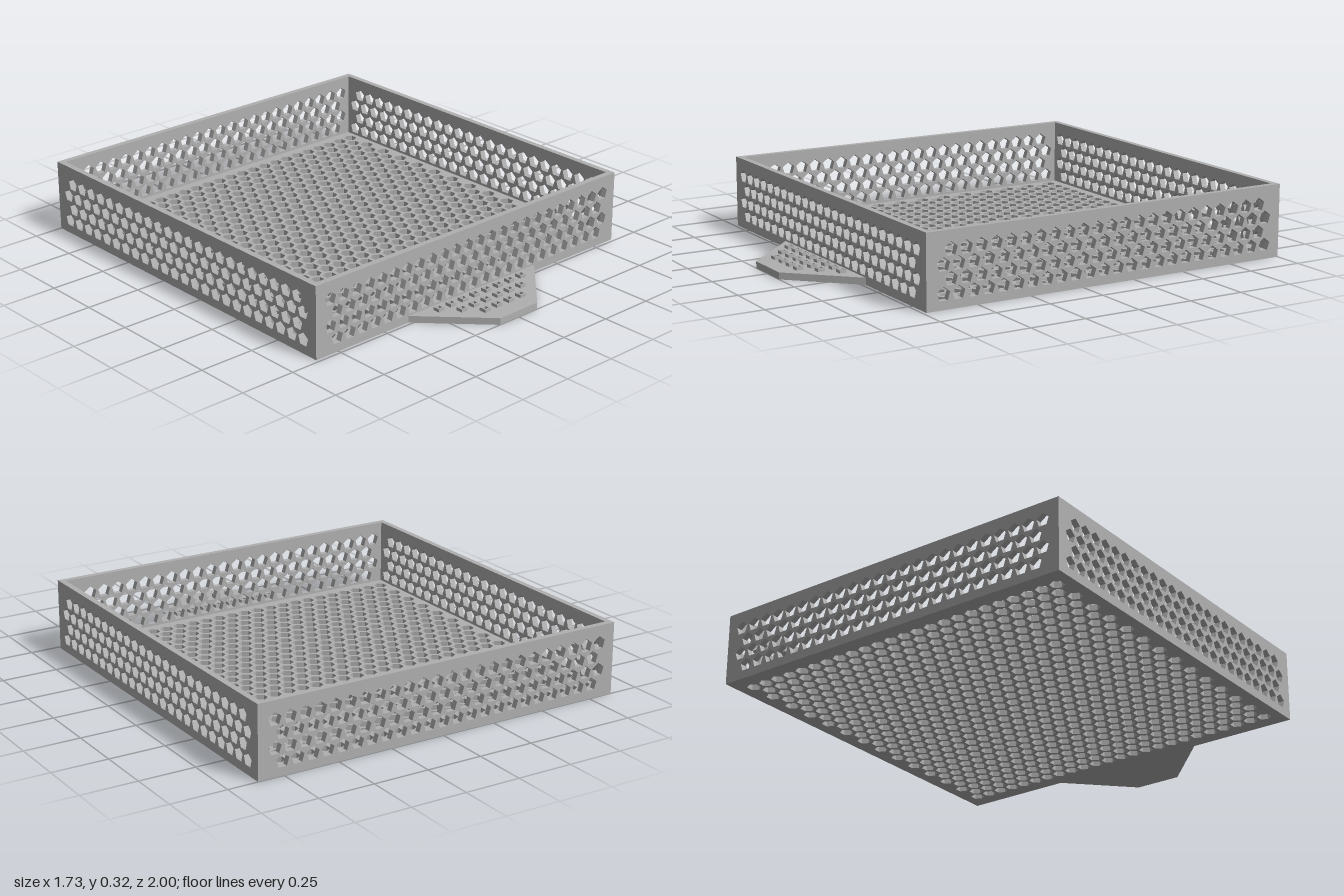
import * as THREE from 'three';

const HALF_X = 0.866, HALF_Z = 0.8675, MID_Z = -0.1325;
const HEIGHT = 0.32, THICK = 0.027;
const PITCH = 0.0687, ROW = PITCH * 0.866, HOLE_R = 0.031;

// Closed path from a list of [x, y] points
const outline = (points, Type = THREE.Shape) =>
  new Type(points.map(([x, y]) => new THREE.Vector2(x, y)));

const rectangle = (x0, y0, x1, y1, Type) =>
  outline([[x0, y0], [x1, y0], [x1, y1], [x0, y1]], Type);

// Regular polygon hole with one corner pointing up
function polygonHole(cx, cy, sides) {
  const points = [];
  for (let i = 0; i < sides; i++) {
    const a = Math.PI / 2 + (i / sides) * Math.PI * 2;
    points.push([cx + HOLE_R * Math.cos(a), cy + HOLE_R * Math.sin(a)]);
  }
  return outline(points, THREE.Path);
}

// Staggered rows of holes, alternating between two counts
function perforate(shape, rows, firstY, counts, sides) {
  for (let r = 0; r < rows; r++) {
    const n = counts[r % 2];
    for (let i = 0; i < n; i++) {
      shape.holes.push(polygonHole((i - (n - 1) / 2) * PITCH, firstY + r * ROW, sides));
    }
  }
  return shape;
}

const extrude = (shape, depth) =>
  new THREE.ExtrudeGeometry(shape, { depth, bevelEnabled: false });

// Lay a plan drawn in x and z flat, from y = bottom up to bottom + depth
const slab = (shape, bottom, depth) =>
  extrude(shape, depth).rotateX(Math.PI / 2).translate(0, bottom + depth, 0);

export function createModel() {
  const tray = new THREE.Group();
  tray.name = 'perforatedTray';
  const grey = new THREE.MeshStandardMaterial({ color: 0xb0b0b0 });
  grey.name = 'plain grey';

  const add = (name, geometry, parent = tray) => {
    const mesh = new THREE.Mesh(geometry, grey);
    mesh.name = name;
    parent.add(mesh);
    return mesh;
  };

  // Floor with hexagonal holes
  const inX = HALF_X - THICK, inZ = HALF_Z - THICK;
  const floor = perforate(rectangle(-inX, -inZ, inX, inZ), 27, -13 * ROW, [24, 23], 6);
  add('floor', slab(floor, 0, THICK)).position.z = MID_Z;

  // Front and back walls with pentagonal holes
  const longWall = extrude(
    perforate(rectangle(-HALF_X, 0, HALF_X, HEIGHT), 4, 0.063, [23, 24], 5), THICK);
  add('frontWall', longWall).position.z = MID_Z + HALF_Z - THICK;
  add('backWall', longWall).position.z = MID_Z - HALF_Z;

  // Side walls fit between them, with the stagger swapped
  const sideWall = extrude(
    perforate(rectangle(-inZ, 0, inZ, HEIGHT), 4, 0.063, [24, 23], 5), THICK)
    .rotateY(Math.PI / 2);
  add('leftWall', sideWall).position.set(HALF_X - THICK, 0, MID_Z);
  add('rightWall', sideWall).position.set(-HALF_X, 0, MID_Z);

  // Tapered grip tab at the front
  const frontZ = MID_Z + HALF_Z;
  add('gripTab', slab(
    outline([[-0.37, frontZ], [0.37, frontZ], [0.108, 1], [-0.108, 1]]), 0, 0.03));

  // Small raised square rings on the tab
  const studs = new THREE.Group();
  studs.name = 'gripStuds';
  tray.add(studs);
  const ring = rectangle(-0.016, -0.016, 0.016, 0.016);
  ring.holes.push(rectangle(-0.01, -0.01, 0.01, 0.01, THREE.Path));
  const ringGeometry = slab(ring, 0.03, 0.014);
  [8, 6, 4].forEach((n, row) => {
    for (let i = 0; i < n; i++) {
      add('gripStud', ringGeometry, studs)
        .position.set((i - (n - 1) / 2) * PITCH, 0, 0.779 + row * 0.065);
    }
  });

  return tray;
}
